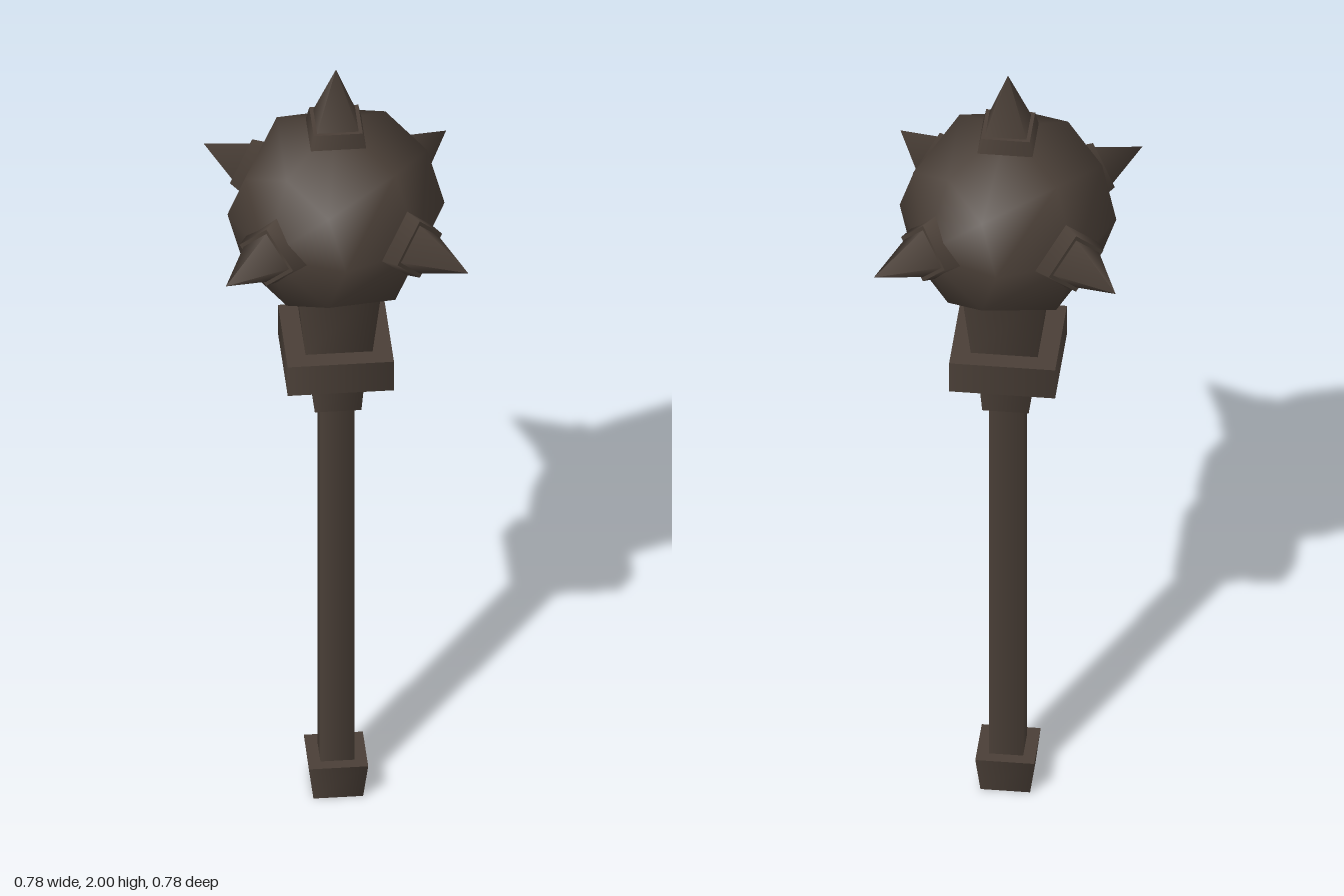
import * as THREE from 'three';

const HEAD_Y = 1.61;

export function createModel() {
  const model = new THREE.Group();
  model.name = 'spikedMace';
  const iron = new THREE.MeshStandardMaterial({ color: 0x4a3f37 });
  iron.name = 'darkIron';

  const add = (parent, name, geometry) => {
    const mesh = new THREE.Mesh(geometry, iron);
    mesh.name = name;
    parent.add(mesh);
    return mesh;
  };

  // Four-sided tapered block between two heights, with its corners on the x and z axes
  const block = (parent, name, y0, y1, r0, r1) => {
    const mesh = add(parent, name, new THREE.CylinderGeometry(r1, r0, y1 - y0, 4));
    mesh.position.y = (y0 + y1) / 2;
    return mesh;
  };

  // Shaft, from the pommel up to the neck under the head
  block(model, 'pommel', 0, 0.09, 0.08, 0.095);
  block(model, 'handle', 0.05, 1.12, 0.055, 0.055);
  block(model, 'lowerCollar', 1.08, 1.18, 0.075, 0.086);
  block(model, 'guard', 1.18, 1.26, 0.171, 0.171);
  block(model, 'neck', 1.26, 1.45, 0.108, 0.136);

  // Ball with its poles on the x axis
  const ball = add(model, 'headBall', new THREE.SphereGeometry(0.247, 8, 4).rotateZ(Math.PI / 2));
  ball.position.y = HEAD_Y;

  // Spikes on the top and the four sides, each on a tapered socket
  const up = new THREE.Vector3(0, 1, 0);
  const directions = [[0, 1, 0], [1, 0, 0], [-1, 0, 0], [0, 0, 1], [0, 0, -1]];
  for (const d of directions) {
    const spike = new THREE.Group();
    spike.name = 'spike';
    block(spike, 'spikeSocket', 0.17, 0.247, 0.1, 0.079);
    const point = add(spike, 'spikePoint', new THREE.ConeGeometry(0.067, 0.143, 4));
    point.position.y = 0.247 + 0.143 / 2;
    spike.position.y = HEAD_Y;
    spike.quaternion.setFromUnitVectors(up, new THREE.Vector3(...d));
    model.add(spike);
  }
  return model;
}
